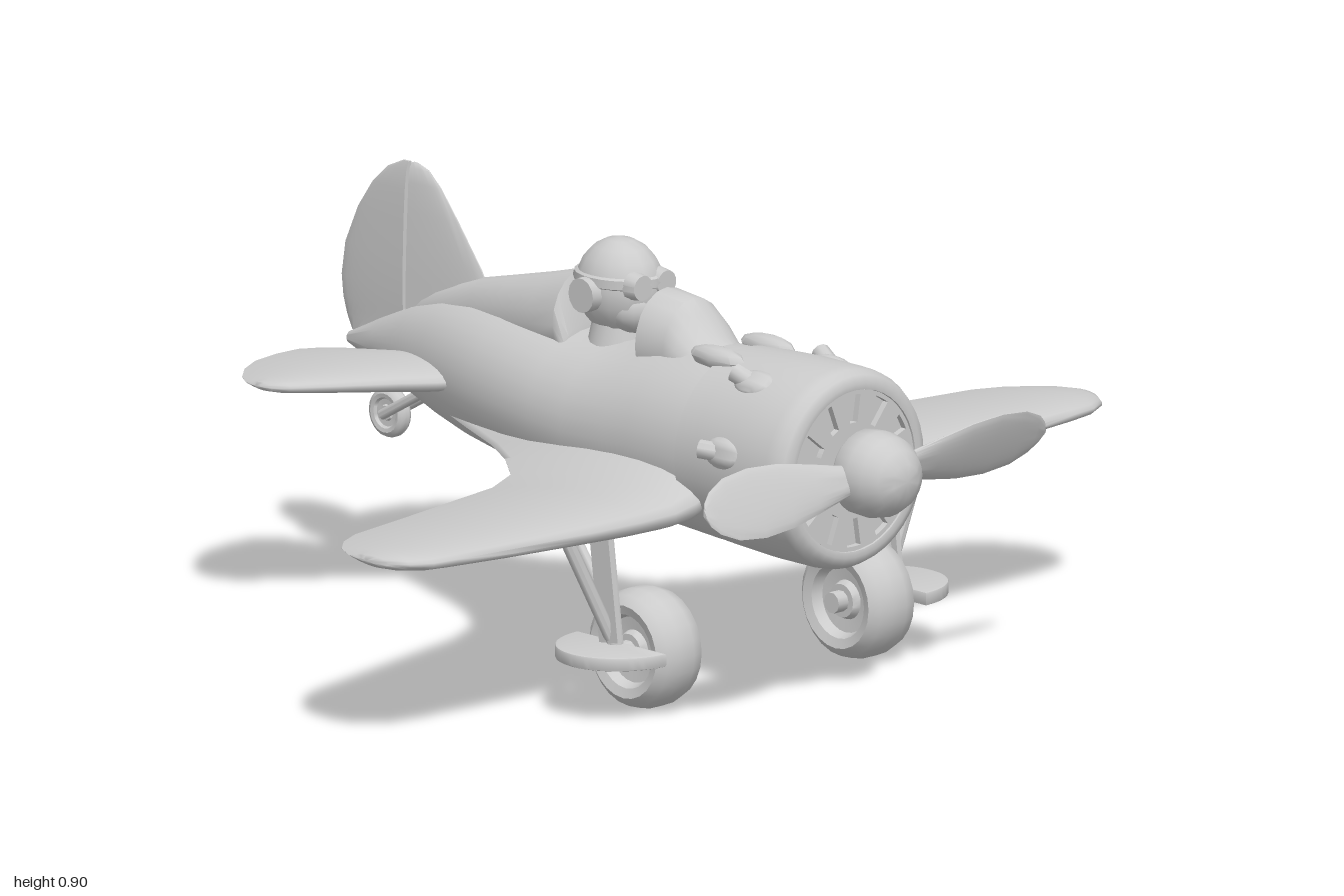
import * as THREE from 'three';
import { toCreasedNormals } from 'three/addons/utils/BufferGeometryUtils.js';

const V = (x, y, z) => new THREE.Vector3(x, y, z);
const material = new THREE.MeshStandardMaterial({ color: 0xcccccc });

function add(parent, name, geometry, crease = 0.7) {
  const mesh = new THREE.Mesh(toCreasedNormals(geometry, crease), material);
  mesh.name = name;
  parent.add(mesh);
  return mesh;
}

// Skin a list of rings, cap both ends, and turn the faces outward
function loft(rings) {
  const n = rings[0].length, pts = rings.flat(), tris = [];
  const last = (rings.length - 1) * n;
  for (let r = 0; r < rings.length - 1; r++) for (let i = 0; i < n; i++) {
    const a = r * n + i, b = r * n + (i + 1) % n;
    tris.push([a, b, b + n], [a, b + n, a + n]);
  }
  for (const [ring, start, flip] of [[rings[0], 0, true], [rings.at(-1), last, false]]) {
    const c = pts.push(ring.reduce((s, p) => s.add(p), V(0, 0, 0)).divideScalar(n)) - 1;
    for (let i = 0; i < n; i++) {
      const a = start + i, b = start + (i + 1) % n;
      tris.push(flip ? [b, a, c] : [a, b, c]);
    }
  }
  const volume = tris.reduce((s, [a, b, c]) => s + pts[a].dot(V(0, 0, 0).crossVectors(pts[b], pts[c])), 0);
  const geometry = new THREE.BufferGeometry().setFromPoints(pts);
  geometry.setIndex(tris.flatMap(([a, b, c]) => (volume < 0 ? [a, c, b] : [a, b, c])));
  return geometry;
}

// Body from sections [z, half width, top, bottom]
const body = (sections, n = 32) => loft(sections.map(([z, w, top, bottom]) =>
  Array.from({ length: n }, (_, i) => {
    const a = (i / n) * Math.PI * 2;
    return V(w * Math.cos(a), (top + bottom) / 2 + (top - bottom) / 2 * Math.sin(a), z);
  })));

// Thin surface from stations [span, leading, trailing, centre, half thickness]
const airfoil = t => 2.6 * Math.sqrt(t) * (1 - t);
const blade = (stations, place, f = airfoil, n = 24) => loft(stations.map(([s, lead, trail, c, h]) =>
  Array.from({ length: n }, (_, i) => {
    const a = ((i + 0.5) / n) * Math.PI * 2, t = (1 - Math.cos(a)) / 2;
    return place(s, lead + (trail - lead) * t, c + Math.sign(Math.sin(a)) * h * f(t));
  })));

// Lathe around the z axis, points are [radius, z] from back to front
const latheZ = (points, sides = 40) =>
  new THREE.LatheGeometry(points.map(p => new THREE.Vector2(...p)), sides).rotateX(Math.PI / 2);

function rod(parent, name, a, b, r, flat = 1) {
  const mesh = add(parent, name, new THREE.CylinderGeometry(r, r, a.distanceTo(b), 10).scale(flat, 1, 1));
  mesh.position.lerpVectors(a, b, 0.5);
  mesh.quaternion.setFromUnitVectors(V(0, 1, 0), b.clone().sub(a).normalize());
  return mesh;
}

const ball = (x, y, z, w = 16, h = 12) => new THREE.SphereGeometry(1, w, h).scale(x, y, z);

function wheel(parent, name, r, width, position) {
  const h = width / 2;
  const profile = [[0, -h * 0.75], [r * 0.28, -h * 0.75], [r * 0.33, -h * 0.5], [r * 0.55, -h * 0.55], [r * 0.62, -h * 0.9],
    [r * 0.78, -h], [r * 0.93, -h * 0.75], [r, -h * 0.3]];
  const full = [...profile, ...profile.map(([x, y]) => [x, -y]).reverse()];
  add(parent, name, latheZ(full, 24).rotateY(Math.PI / 2)).position.copy(position);
}

export function createModel() {
  const plane = new THREE.Group();
  plane.name = 'airplane';

  // Fuselage, windscreen and headrest spine
  add(plane, 'fuselage', body([
    [0.6, 0.18, 0.68, 0.3], [0.36, 0.19, 0.69, 0.293], [0.2, 0.187, 0.685, 0.303], [0.13, 0.185, 0.668, 0.31],
    [0, 0.18, 0.652, 0.32], [-0.1, 0.175, 0.655, 0.33], [-0.2, 0.163, 0.66, 0.34], [-0.3, 0.147, 0.66, 0.352],
    [-0.4, 0.123, 0.655, 0.367], [-0.5, 0.095, 0.64, 0.39], [-0.6, 0.067, 0.61, 0.422], [-0.7, 0.04, 0.565, 0.458],
    [-0.8, 0.012, 0.515, 0.49]]));
  add(plane, 'windscreen', body([[0.31, 0.05, 0.685, 0.6], [0.27, 0.08, 0.7, 0.58], [0.235, 0.088, 0.74, 0.56],
    [0.205, 0.088, 0.768, 0.56], [0.125, 0.088, 0.776, 0.56]], 20));
  add(plane, 'headrestSpine', body([[-0.09, 0.085, 0.67, 0.56], [-0.12, 0.085, 0.772, 0.56], [-0.2, 0.078, 0.75, 0.56],
    [-0.3, 0.062, 0.725, 0.56], [-0.41, 0.045, 0.698, 0.56], [-0.6, 0.022, 0.635, 0.54]], 20));

  // Engine cowling with a slotted front plate
  const cowling = new THREE.Group();
  cowling.name = 'engineCowling';
  cowling.position.y = 0.495;
  plane.add(cowling);
  add(cowling, 'cowlingShell', latheZ([[0.18, 0.355], [0.2, 0.358], [0.204, 0.42], [0.209, 0.52], [0.209, 0.63],
    [0.206, 0.655], [0.197, 0.672], [0.18, 0.68], [0.168, 0.678], [0.165, 0.655], [0, 0.655]]));
  const plate = new THREE.Shape().absarc(0, 0, 0.17, 0, Math.PI * 2);
  for (let i = 0; i < 12; i++) {
    const a = (i / 12) * Math.PI * 2, hole = new THREE.Path();
    hole.absarc(0, 0, 0.158, a - 0.12, a + 0.12, false);
    hole.absarc(0, 0, 0.1, a + 0.1, a - 0.1, true);
    plate.holes.push(hole);
  }
  add(cowling, 'slottedPlate', new THREE.ExtrudeGeometry(plate, { depth: 0.014, bevelEnabled: false, curveSegments: 8 }).translate(0, 0, 0.66));

  // Exhaust bulges and pipes around the cowling
  for (const deg of [11, 57, 123, 169]) {
    const exhaust = new THREE.Group();
    exhaust.name = 'exhaust';
    exhaust.rotation.z = THREE.MathUtils.degToRad(deg);
    cowling.add(exhaust);
    add(exhaust, 'exhaustBulge', ball(0.022, 0.034, 0.055)).position.set(0.198, 0, 0.5);
    rod(exhaust, 'exhaustPipe', V(0.19, 0, 0.51), V(0.22, 0, 0.45), 0.02);
  }

  // Propeller and spinner
  const propeller = new THREE.Group();
  propeller.name = 'propeller';
  propeller.position.set(0, 0.5, 0.735);
  plane.add(propeller);
  add(propeller, 'spinner', latheZ([[0, -0.04], [0.08, -0.04], [0.088, -0.03], [0.09, 0.01], [0.082, 0.045],
    [0.062, 0.075], [0.035, 0.092], [0, 0.098]], 24));
  add(propeller, 'shaft', latheZ([[0.045, -0.08], [0.045, -0.03]], 16));
  const twist = 0.42;
  const bladeStations = [[0.05, 0.026], [0.1, 0.036], [0.17, 0.052], [0.25, 0.068], [0.33, 0.074], [0.4, 0.066], [0.445, 0.045], [0.465, 0.025], [0.473, 0.007]]
    .map(([s, c]) => [s, c, -c, 0, 0.004 + 0.012 * (1 - s / 0.48)]);
  for (const turn of [0, Math.PI]) {
    add(propeller, 'propellerBlade', blade(bladeStations,
      (s, u, v) => V(s, u * Math.cos(twist) - v * Math.sin(twist) + 0.012 * s, u * Math.sin(twist) + v * Math.cos(twist)),
      t => 2 * Math.sqrt(t * (1 - t)))).rotation.z = turn;
  }

  // Fin and rudder with a hinge gap between them
  const upright = (s, u, v) => V(v, s, u);
  add(plane, 'fin', blade([[0.55, -0.34, -0.617, 0, 0.024], [0.66, -0.385, -0.617, 0, 0.022], [0.71, -0.415, -0.617, 0, 0.021],
    [0.8, -0.485, -0.617, 0, 0.017], [0.86, -0.535, -0.617, 0, 0.014], [0.89, -0.57, -0.617, 0, 0.01],
    [0.9, -0.6, -0.617, 0, 0.004]], upright, t => Math.sqrt(t)));
  add(plane, 'rudder', blade([[0.52, -0.765, -0.795, 0, 0.008], [0.55, -0.705, -0.81, 0, 0.013], [0.585, -0.627, -0.821, 0, 0.018],
    [0.63, -0.627, -0.826, 0, 0.02], [0.7, -0.627, -0.815, 0, 0.019], [0.78, -0.627, -0.778, 0, 0.017],
    [0.84, -0.627, -0.735, 0, 0.014], [0.88, -0.627, -0.69, 0, 0.01], [0.9, -0.627, -0.645, 0, 0.004]], upright, t => Math.sqrt(1 - t)));

  // Mirrored parts
  for (const side of [1, -1]) {
    const label = side > 0 ? 'left' : 'right';
    const flat = (s, u, v) => V(s * side, v, u);
    const at = (x, y, z) => V(x * side, y, z);

    add(plane, label + 'Wing', blade([[0.09, 0.4, -0.43, 0.43, 0.08], [0.13, 0.415, -0.33, 0.425, 0.075], [0.165, 0.42, -0.22, 0.415, 0.066],
      [0.2, 0.425, -0.14, 0.405, 0.056], [0.26, 0.428, -0.06, 0.397, 0.045], [0.36, 0.43, -0.008, 0.397, 0.04], [0.5, 0.43, 0.025, 0.4, 0.035],
      [0.7, 0.426, 0.075, 0.405, 0.029], [0.86, 0.42, 0.115, 0.41, 0.024], [0.92, 0.412, 0.145, 0.411, 0.021],
      [0.965, 0.388, 0.187, 0.412, 0.017], [0.99, 0.35, 0.235, 0.412, 0.011], [0.998, 0.32, 0.27, 0.412, 0.004]], flat), 1);

    add(plane, label + 'Tailplane', blade([[0.03, -0.34, -0.63, 0.5, 0.035], [0.07, -0.36, -0.72, 0.5, 0.033], [0.1, -0.375, -0.785, 0.5, 0.031],
      [0.14, -0.395, -0.808, 0.5, 0.029], [0.2, -0.445, -0.81, 0.5, 0.026], [0.27, -0.495, -0.797, 0.5, 0.022], [0.33, -0.538, -0.765, 0.5, 0.018],
      [0.38, -0.575, -0.72, 0.5, 0.013], [0.403, -0.605, -0.685, 0.5, 0.008], [0.41, -0.63, -0.66, 0.5, 0.003]], flat), 1);

    add(plane, 'gunFairing', ball(0.028, 0.025, 0.08, 8, 6)).position.copy(at(0.07, 0.682, 0.35));

    // Landing gear
    const gear = new THREE.Group();
    gear.name = label + 'LandingGear';
    plane.add(gear);
    wheel(gear, 'wheel', 0.124, 0.125, at(0.296, 0.125, 0.375));
    rod(gear, 'axle', at(0.222, 0.125, 0.375), at(0.395, 0.125, 0.375), 0.022);
    rod(gear, 'mainLeg', at(0.378, 0.39, 0.34), at(0.378, 0.125, 0.375), 0.017);
    const cover = add(gear, 'legCover', new THREE.BoxGeometry(0.012, 0.22, 0.055));
    cover.position.copy(at(0.393, 0.26, 0.36));
    cover.rotation.x = -0.13;
    rod(gear, 'sideBrace', at(0.5, 0.39, 0.35), at(0.385, 0.155, 0.37), 0.014);
    rod(gear, 'rearBrace', at(0.38, 0.37, 0.24), at(0.38, 0.2, 0.37), 0.011);
    const half = new THREE.Shape().moveTo(0, -0.13);
    half.absellipse(0, 0, 0.14, 0.13, -Math.PI / 2, Math.PI / 2, false);
    const door = add(gear, 'wheelDoor', new THREE.ExtrudeGeometry(half, { depth: 0.02, bevelSize: 0.004, bevelThickness: 0.004, bevelOffset: -0.004, bevelSegments: 2, curveSegments: 20 })
      .rotateX(-Math.PI / 2));
    door.position.copy(at(0.362, 0.122, 0.375));
    if (side < 0) door.rotation.y = Math.PI;

    // Tail wheel fork
    rod(plane, 'tailFork', V(side * 0.022, 0.43, -0.57), V(side * 0.022, 0.365, -0.685), 0.011);
  }
  wheel(plane, 'tailWheel', 0.052, 0.034, V(0, 0.367, -0.685));

  // Pilot
  const pilot = new THREE.Group();
  pilot.name = 'pilot';
  pilot.position.set(0, 0.755, -0.01);
  plane.add(pilot);
  add(pilot, 'helmet', ball(0.084, 0.102, 0.1, 14, 10));
  add(pilot, 'face', ball(0.062, 0.055, 0.06)).position.set(0, -0.035, 0.042);
  add(pilot, 'neck', new THREE.CylinderGeometry(0.055, 0.08, 0.12, 16)).position.y = -0.12;
  const strap = add(pilot, 'goggleStrap', new THREE.TorusGeometry(1, 0.1, 8, 24).rotateX(Math.PI / 2).scale(0.08, 0.13, 0.095));
  strap.position.y = 0.022;
  for (const side of [1, -1]) {
    add(pilot, 'goggleLens', new THREE.CylinderGeometry(0.026, 0.03, 0.03, 14).rotateX(Math.PI / 2)).position.set(side * 0.033, 0.018, 0.087);
    add(pilot, 'earCup', new THREE.CylinderGeometry(0.036, 0.036, 0.04, 14).rotateZ(Math.PI / 2)).position.set(side * 0.083, -0.005, -0.008);
  }
  return plane;
}
